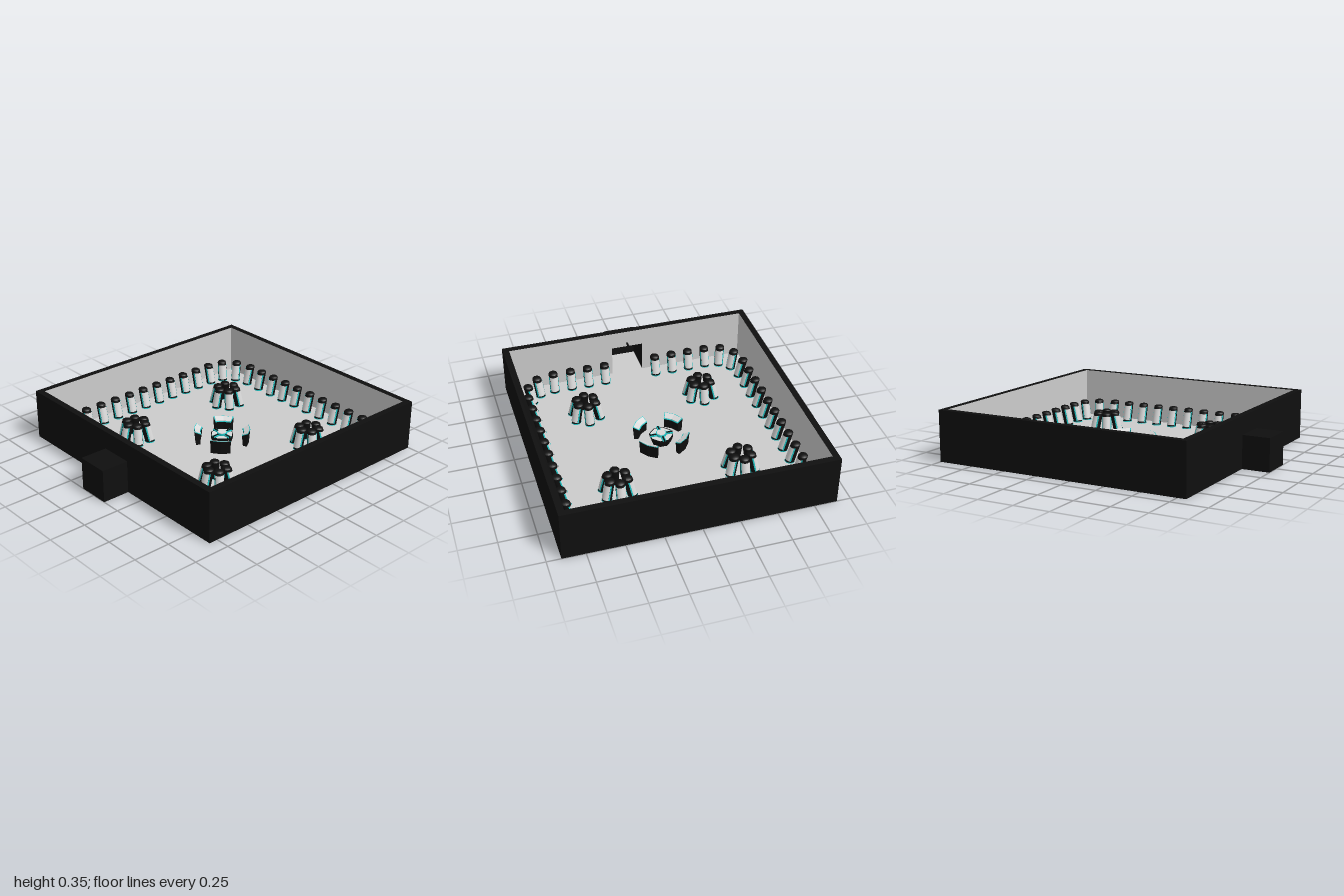
import * as THREE from 'three';

const mat = (name, color, side = THREE.FrontSide) => {
  const m = new THREE.MeshStandardMaterial({ color, side });
  m.name = name;
  return m;
};

export function createModel() {
  const black = mat('black', 0x0f0f0f, THREE.DoubleSide);
  const lightGrey = mat('light grey', 0xcccccc, THREE.DoubleSide);
  const white = mat('panel white', 0xdadada, THREE.DoubleSide);
  const teal = mat('teal trim', 0x1fc4c4, THREE.DoubleSide);

  const root = new THREE.Group();
  root.name = 'chamber';
  const room = new THREE.Group();
  room.name = 'room';
  room.position.z = -0.095;
  root.add(room);

  const H = 0.35, OUT = 0.905, IN = 0.861, DOOR = 0.113, DOOR_H = 0.225, FLOOR = 0.004;
  const add = (parent, name, geo, m, x = 0, y = 0, z = 0) => {
    const mesh = new THREE.Mesh(geo, m);
    mesh.name = name;
    mesh.position.set(x, y, z);
    parent.add(mesh);
    return mesh;
  };
  const poly = pts => new THREE.Shape(pts.map(p => new THREE.Vector2(...p)));

  // Walls: dark outer shell and pale lining, open underneath, with a doorway in front
  const wall = (half, open) => new THREE.ShapeGeometry(poly(open
    ? [[-half, 0], [-DOOR, 0], [-DOOR, DOOR_H], [DOOR, DOOR_H], [DOOR, 0], [half, 0], [half, H], [-half, H]]
    : [[-half, 0], [half, 0], [half, H], [-half, H]]));
  for (let k = 0; k < 4; k++) {
    const side = new THREE.Group();
    side.name = 'wallSide';
    side.rotation.y = k * Math.PI / 2;
    room.add(side);
    add(side, 'outerWall', wall(OUT, k === 0), black, 0, 0, OUT);
    add(side, 'wallLining', wall(IN, k === 0), lightGrey, 0, 0, IN);
  }
  const square = s => [[-s, -s], [s, -s], [s, s], [-s, s]];
  const rim = poly(square(OUT));
  rim.holes.push(poly(square(IN)));
  add(room, 'wallTop', new THREE.ShapeGeometry(rim).rotateX(-Math.PI / 2), black, 0, H, 0);

  // Floor, running out through the doorway
  const floor = poly([[-IN, -IN], [-DOOR, -IN], [-DOOR, -1.09], [DOOR, -1.09], [DOOR, -IN], [IN, -IN], [IN, IN], [-IN, IN]]);
  add(room, 'floor', new THREE.ShapeGeometry(floor).rotateX(-Math.PI / 2), lightGrey, 0, FLOOR, 0);

  // Entrance porch
  const porch = new THREE.Group();
  porch.name = 'porch';
  root.add(porch);
  const z0 = IN - 0.095, z1 = 1, zm = (z0 + z1) / 2;
  for (const s of [-1, 1])
    add(porch, 'porchSide', new THREE.PlaneGeometry(z1 - z0, DOOR_H).rotateY(s * Math.PI / 2), black, s * DOOR, DOOR_H / 2, zm);
  add(porch, 'porchRoof', new THREE.PlaneGeometry(2 * DOOR, z1 - z0).rotateX(-Math.PI / 2), black, 0, DOOR_H, zm);
  add(porch, 'porchFront', new THREE.PlaneGeometry(2 * DOOR, DOOR_H), black, 0, DOOR_H / 2, z1);
  add(porch, 'doorSensor', new THREE.BoxGeometry(0.01, 0.015, 0.04), black, 0, 0.25, z0 - 0.02);

  // Leaning pods: dark shell, pale front panel, teal edging
  const PH = 0.135, R = 0.032;
  const lean = geo => {
    const p = geo.attributes.position;
    for (let i = 0; i < p.count; i++) p.setZ(i, p.getZ(i) + 0.016 * (1 - 2 * p.getY(i) / PH));
    geo.computeVertexNormals();
    return geo;
  };
  const band = (r, y, h, start, len) =>
    lean(new THREE.CylinderGeometry(r, r, h, 14, 1, true, start, len).translate(0, y + h / 2, 0));
  const podParts = [
    ['podShell', band(R, 0, PH, 0, 2 * Math.PI), black],
    ['podCap', lean(new THREE.SphereGeometry(R, 14, 4, 0, 2 * Math.PI, 0, Math.PI / 2).scale(1, 0.4, 1).translate(0, PH, 0)), black],
    ['podPanel', band(R + 0.002, 0.016, 0.104, -1, 2), white],
    ['podTrim', band(R + 0.003, 0.012, 0.11, 1, 0.28), teal],
    ['podTrim', band(R + 0.003, 0.012, 0.11, -1.28, 0.28), teal],
    ['podBaseRing', band(R + 0.003, 0, 0.006, 0, 2 * Math.PI), teal],
  ];
  const pod = (parent, x, z, angle) => {
    const g = new THREE.Group();
    g.name = 'pod';
    g.position.set(x, FLOOR, z);
    g.rotation.y = angle;
    for (const [name, geo, m] of podParts) add(g, name, geo, m);
    parent.add(g);
  };

  // Pods around the walls, with a gap at the door
  for (let k = 0; k < 4; k++) {
    const row = new THREE.Group();
    row.name = 'podRow';
    row.rotation.y = k * Math.PI / 2;
    room.add(row);
    for (let i = 0; i < 10; i++) {
      const x = (i - 4.5) * 0.1268;
      if (k !== 2 || Math.abs(x) > 0.1) pod(row, x, -0.782, 0);
    }
    pod(row, 0.682, -0.762, -Math.PI / 6);
    pod(row, 0.757, -0.687, -Math.PI / 3);
  }

  // Four rings of six pods facing outward
  for (const sx of [-1, 1]) for (const sz of [-1, 1]) {
    const ring = new THREE.Group();
    ring.name = 'podRing';
    ring.position.set(sx * 0.421, 0, sz * 0.421);
    room.add(ring);
    for (let i = 0; i < 6; i++) {
      const a = i * Math.PI / 3;
      pod(ring, 0.083 * Math.sin(a), 0.083 * Math.cos(a), a);
    }
  }

  // Sweep a radius/height profile around the vertical axis in flat facets
  const sweep = (pts, a0, a1, steps) => {
    const geo = new THREE.ExtrudeGeometry(poly(pts), { depth: 1, steps, bevelEnabled: false });
    const p = geo.attributes.position;
    for (let i = 0; i < p.count; i++) {
      const r = p.getX(i), a = a0 + (a1 - a0) * p.getZ(i);
      p.setXYZ(i, r * Math.cos(a), p.getY(i), r * Math.sin(a));
    }
    geo.computeVertexNormals();
    return geo;
  };

  // Curved consoles around the centre
  for (let k = 0; k < 4; k++) {
    const desk = new THREE.Group();
    desk.name = 'console';
    desk.rotation.y = k * Math.PI / 2;
    room.add(desk);
    const c = Math.PI / 4, w = 0.37;
    add(desk, 'consoleBody', sweep([[0.158, 0], [0.186, 0], [0.194, 0.1], [0.15, 0.078]], c - w, c + w, 2), black);
    add(desk, 'consoleTrim', sweep([[0.149, 0.078], [0.195, 0.101], [0.195, 0.104], [0.149, 0.081]], c - w, c + w, 2), teal);
    add(desk, 'consoleScreen', sweep([[0.154, 0.081], [0.19, 0.099], [0.19, 0.105], [0.154, 0.087]], c - w + 0.03, c + w - 0.03, 2), white);
  }

  // Central eight-sided table
  const hub = new THREE.Group();
  hub.name = 'centralTable';
  room.add(hub);
  const e = Math.PI / 8, full = e + 2 * Math.PI;
  add(hub, 'tableBody', sweep([[0.001, FLOOR], [0.066, FLOOR], [0.082, 0.05], [0.082, 0.062], [0.077, 0.062], [0.001, 0.056]], e, full, 8), black);
  add(hub, 'tableTop', sweep([[0.001, 0.057], [0.076, 0.057], [0.076, 0.062], [0.001, 0.062]], e, full, 8), white);
  for (let k = 0; k < 2; k++) {
    const arm = new THREE.Group();
    arm.name = 'tableArm';
    arm.rotation.y = k * Math.PI / 2;
    hub.add(arm);
    add(arm, 'armTrim', new THREE.BoxGeometry(0.16, 0.009, 0.024), teal, 0, 0.0655, 0);
    add(arm, 'armBar', new THREE.BoxGeometry(0.162, 0.012, 0.011), black, 0, 0.067, 0);
  }
  add(hub, 'hubTrim', new THREE.CylinderGeometry(0.036, 0.036, 0.016, 16), teal, 0, 0.069, 0);
  add(hub, 'hubDisc', new THREE.CylinderGeometry(0.03, 0.03, 0.02, 16), white, 0, 0.071, 0);

  return root;
}
